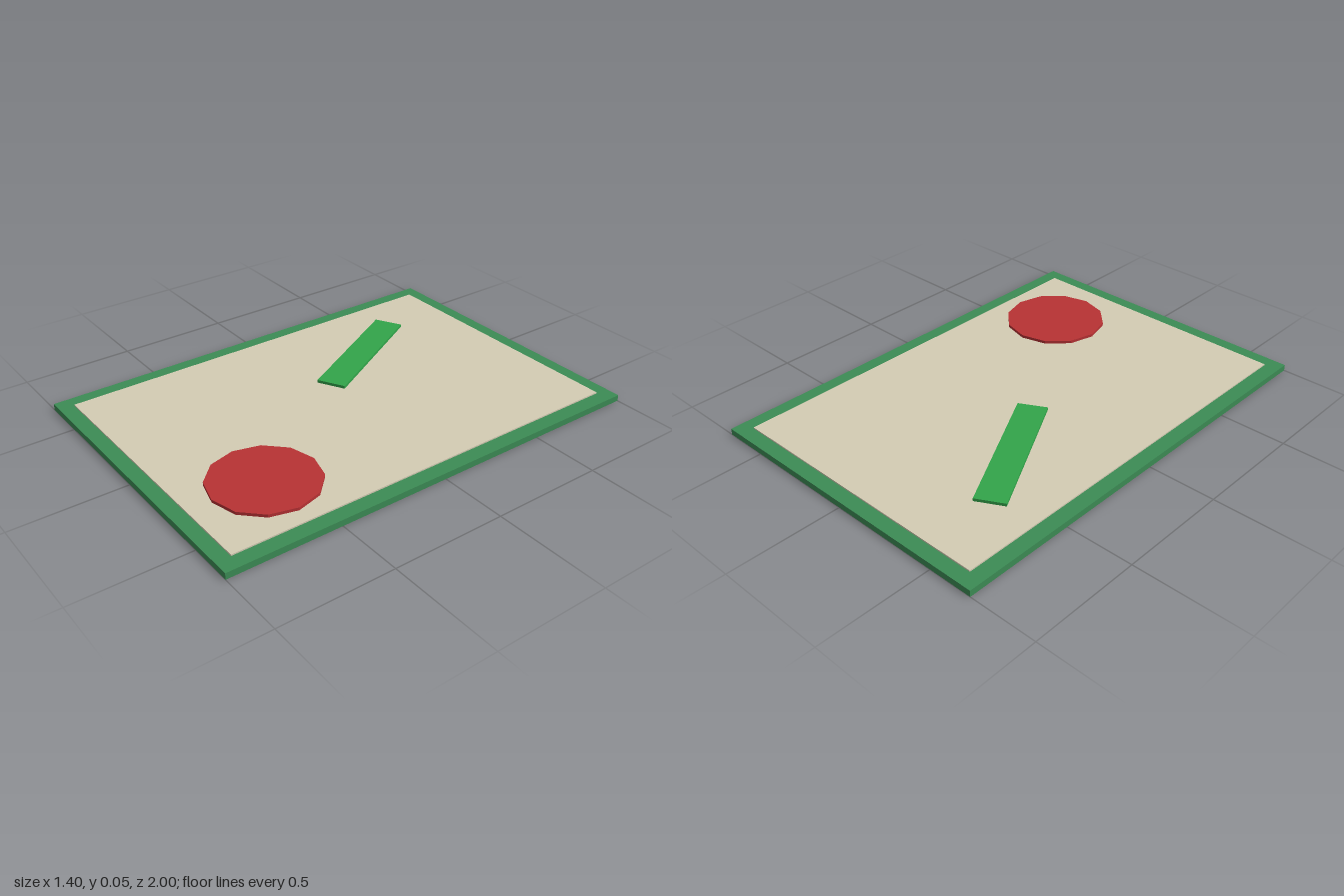
import * as THREE from 'three';

export function createModel() {
  const model = new THREE.Group();

  // Adds a flat-shaded part whose underside sits at height y
  function addPart(name, geometry, color, x, y, z, turn = 0) {
    const material = new THREE.MeshStandardMaterial({ color, flatShading: true });
    const mesh = new THREE.Mesh(geometry, material);
    mesh.name = name;
    geometry.computeBoundingBox();
    mesh.position.set(x, y - geometry.boundingBox.min.y, z);
    mesh.rotation.y = turn;
    model.add(mesh);
  }

  // Green backing board with a thin beige panel leaving an even border
  addPart('board', new THREE.BoxGeometry(1.4, 0.028, 2), 0x3c8c55, 0, 0, 0);
  addPart('panel', new THREE.BoxGeometry(1.266, 0.006, 1.87), 0xd4ccb4, 0, 0.028, 0);

  // Raised slanted bar and twelve-sided disc
  addPart('bar', new THREE.BoxGeometry(0.132, 0.013, 0.667), 0x32a54a, -0.268, 0.034, -0.335, 0.5);
  addPart('disc', new THREE.CylinderGeometry(0.233, 0.233, 0.013, 12), 0xb83234, 0.331, 0.034, 0.598);

  return model;
}
